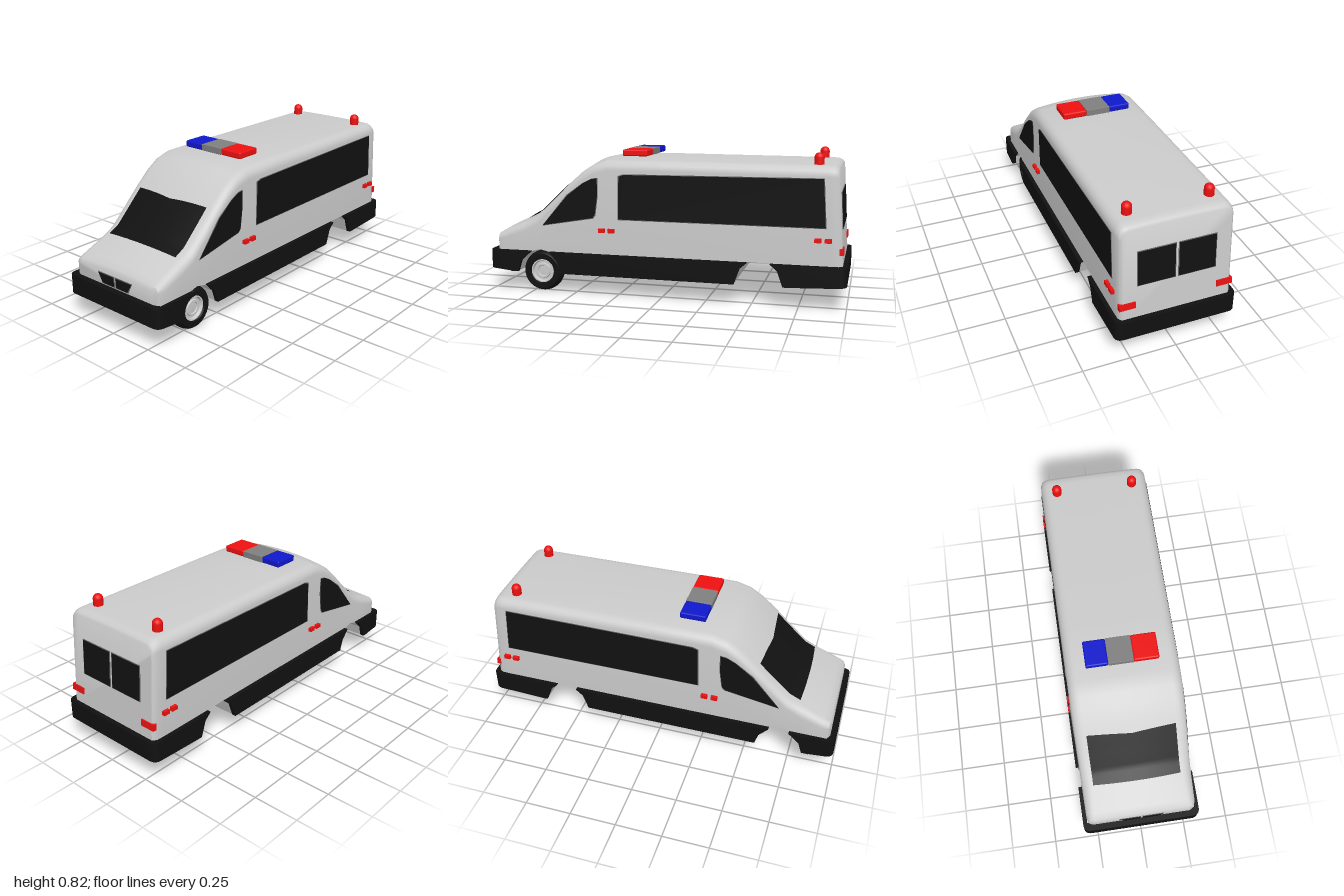
import * as THREE from 'three';
import { toCreasedNormals } from 'three/addons/utils/BufferGeometryUtils.js';
import { RoundedBoxGeometry } from 'three/addons/geometries/RoundedBoxGeometry.js';

const mat = (color, side = THREE.FrontSide) => new THREE.MeshStandardMaterial({ color, side });
const grey = mat(0xcccccc), black = mat(0x111111), red = mat(0xee1111), blue = mat(0x1018cc);
const midGrey = mat(0x808080), frameGrey = mat(0x666666), glass = mat(0x111111, THREE.DoubleSide);
const LEAN = 0.06; // forward lean of the tail

function add(parent, name, geo, material, x = 0, y = 0, z = 0) {
  const m = new THREE.Mesh(geo, material);
  m.name = name;
  m.position.set(x, y, z);
  parent.add(m);
  return m;
}

const polygon = pts => new THREE.Shape(pts.map(p => new THREE.Vector2(p[0], p[1])));
const slab = (pts, depth) => new THREE.ExtrudeGeometry(polygon(pts), { depth, bevelEnabled: false });

// Body stations: x, roof height, half width, edge radius, crown, bottom, lean
const stations = [
  [-0.968, 0.318, 0.272, 0.02, 0.01, 0.225, 0],
  [-0.957, 0.338, 0.293, 0.03, 0.012, 0.225, 0],
  [-0.925, 0.358, 0.302, 0.045, 0.015, 0.225, 0],
  [-0.8, 0.418, 0.303, 0.055, 0.02, 0.25, 0],
  [-0.72, 0.458, 0.303, 0.055, 0.02, 0.25, 0],
  [-0.62, 0.553, 0.303, 0.055, 0.02, 0.25, 0],
  [-0.53, 0.64, 0.303, 0.055, 0.02, 0.25, 0],
  [-0.45, 0.71, 0.303, 0.055, 0.02, 0.25, 0],
  [-0.38, 0.752, 0.303, 0.055, 0.018, 0.25, 0],
  [-0.3, 0.77, 0.303, 0.055, 0.014, 0.25, 0],
  [0, 0.768, 0.303, 0.055, 0.01, 0.25, 0],
  [0.92, 0.758, 0.303, 0.055, 0.004, 0.225, LEAN],
  [0.95, 0.755, 0.301, 0.053, 0.004, 0.225, LEAN],
  [0.967, 0.746, 0.295, 0.05, 0.004, 0.225, LEAN],
  [0.975, 0.733, 0.285, 0.045, 0.004, 0.225, LEAN],
];

function section([x, top, w, r, crown, bottom, lean]) {
  const half = [[w, bottom]], edge = top - crown;
  for (let k = 0; k <= 6; k++) {
    const a = k / 6 * Math.PI / 2;
    half.push([w - r + r * Math.cos(a), edge - r + r * Math.sin(a)]);
  }
  for (let k = 5; k >= 0; k--) {
    const t = k / 6;
    half.push([(w - r) * t, top - crown * t * t]);
  }
  const all = half.concat(half.slice(0, -1).reverse().map(([z, y]) => [-z, y]));
  return all.map(([z, y]) => [x - lean * (y - 0.235), y, z]);
}

function bodyGeometry() {
  const rows = stations.map(section), n = rows[0].length, index = [];
  for (let i = 0; i < rows.length - 1; i++) {
    for (let j = 0; j < n - 1; j++) {
      const a = i * n + j, b = a + n;
      index.push(a, b, b + 1, a, b + 1, a + 1);
    }
  }
  const last = (rows.length - 1) * n;
  for (let k = 1; k < n - 1; k++) {
    index.push(0, k, k + 1, last, last + k + 1, last + k);
  }
  const geo = new THREE.BufferGeometry();
  geo.setAttribute('position', new THREE.Float32BufferAttribute(rows.flat(2), 3));
  geo.setIndex(index);
  return toCreasedNormals(geo, 0.6);
}

// Height of the crowned bonnet and roof surface
function topAt(x, z) {
  const i = Math.max(1, stations.findIndex(s => s[0] >= x));
  const a = stations[i - 1], b = stations[i], t = (x - a[0]) / (b[0] - a[0]);
  const mix = k => a[k] + (b[k] - a[k]) * t;
  return mix(1) - mix(4) * (z / (mix(2) - mix(3))) ** 2;
}

function windscreenGeometry() {
  const geo = new THREE.PlaneGeometry(1, 1, 16, 16), p = geo.attributes.position;
  for (let i = 0; i < p.count; i++) {
    const u = p.getX(i) * 2, v = p.getY(i) + 0.5, z = u * 0.24;
    const x = THREE.MathUtils.lerp(-0.79 + 0.01 * u * u, -0.57 + 0.02 * Math.abs(u), v);
    p.setXYZ(i, x - 0.004, topAt(x, z) + 0.004, z);
  }
  geo.computeVertexNormals();
  return geo;
}

// Dark pane with a slightly larger thin frame behind it
function pane(parent, name, pts, z, dir = 1) {
  const g = new THREE.Group();
  g.name = name;
  const c = [0, 1].map(k => (Math.min(...pts.map(p => p[k])) + Math.max(...pts.map(p => p[k]))) / 2);
  const bigger = pts.map(p => p.map((v, k) => v + 0.004 * Math.sign(v - c[k])));
  add(g, 'windowFrame', slab(bigger, 0.004), frameGrey, 0, 0, dir > 0 ? z - 0.002 : -z - 0.002);
  add(g, 'windowGlass', slab(pts, 0.006), glass, 0, 0, dir > 0 ? z - 0.002 : -z - 0.004);
  parent.add(g);
}

// U-shaped bumper wrapping one end of the van
function bumperGeometry(inner) {
  const s = new THREE.Shape();
  s.moveTo(inner, -0.302);
  s.lineTo(inner, -0.325);
  s.lineTo(0.96, -0.325);
  s.quadraticCurveTo(1, -0.325, 1, -0.285);
  s.lineTo(1, 0.285);
  s.quadraticCurveTo(1, 0.325, 0.96, 0.325);
  s.lineTo(inner, 0.325);
  s.lineTo(inner, 0.302);
  s.lineTo(0.955, 0.302);
  s.lineTo(0.955, -0.302);
  const geo = new THREE.ExtrudeGeometry(s, { depth: 0.12, bevelEnabled: false, curveSegments: 8 });
  geo.rotateX(Math.PI / 2).translate(0, 0.235, 0);
  const p = geo.attributes.position;
  for (let i = 0; i < p.count; i++) {
    if (p.getY(i) < 0.15) p.setY(i, 0.115 + 0.015 * Math.max(0, (p.getX(i) - 0.85) / 0.15));
  }
  return toCreasedNormals(geo, 0.6);
}

export function createModel() {
  const van = new THREE.Group();
  van.name = 'emergencyVan';
  add(van, 'bodyShell', bodyGeometry(), grey);
  add(van, 'windscreen', windscreenGeometry(), glass);

  // Underbody with wheel tunnels running the full width
  const underside = [[-0.96, 0.225], [-0.96, 0.128], [-0.83, 0.117], [-0.81, 0.18], [-0.76, 0.23], [-0.7, 0.245],
    [-0.64, 0.23], [-0.59, 0.18], [-0.57, 0.117], [0.41, 0.117], [0.44, 0.2], [0.48, 0.235], [0.54, 0.245],
    [0.6, 0.235], [0.64, 0.2], [0.67, 0.117], [0.96, 0.128], [0.96, 0.225], [0.92, 0.225], [0.92, 0.251],
    [-0.92, 0.251], [-0.92, 0.225]];
  add(van, 'underbody', slab(underside, 0.604), grey, 0, 0, -0.302);

  // Bumpers and side skirts
  add(van, 'rearBumper', bumperGeometry(0.7), black);
  add(van, 'frontBumper', bumperGeometry(0.87), black).rotation.y = Math.PI;
  const skirts = [
    [[-0.87, 0.115], [-0.83, 0.115], [-0.81, 0.18], [-0.75, 0.235], [-0.87, 0.235]],
    [[-0.57, 0.115], [0.41, 0.115], [0.44, 0.2], [0.48, 0.235], [-0.64, 0.235], [-0.59, 0.18]],
    [[0.67, 0.115], [0.7, 0.115], [0.7, 0.235], [0.6, 0.235], [0.64, 0.2]],
  ];
  const cabWindow = [[-0.68, 0.385], [-0.385, 0.437], [-0.37, 0.455], [-0.355, 0.56], [-0.355, 0.657],
    [-0.39, 0.652], [-0.44, 0.627], [-0.53, 0.557]];
  const sideWindow = [[-0.235, 0.435], [0.883, 0.435], [0.867, 0.688], [-0.2, 0.68], [-0.23, 0.67]];
  for (const side of [1, -1]) {
    for (const s of skirts) add(van, 'sideSkirt', slab(s, 0.023), black, 0, 0, side > 0 ? 0.302 : -0.325);
    pane(van, 'cabWindow', cabWindow, 0.303, side);
    pane(van, 'sideWindow', sideWindow, 0.303, side);
    for (const x of [-0.33, -0.275, 0.845, 0.898]) {
      add(van, 'sideMarker', new THREE.BoxGeometry(0.035, 0.022, 0.026), red, x, 0.37, side * 0.308);
    }
    // Roof beacon with a domed top
    add(van, 'roofBeacon', new THREE.CapsuleGeometry(0.026, 0.05, 8, 20), red, 0.835, 0.766, side * 0.214);
  }

  // Tail windows and lamps on the leaning rear face
  const tail = new THREE.Group();
  tail.name = 'tail';
  tail.position.set(0.975, 0.235, 0);
  tail.rotation.set(-Math.atan(LEAN), Math.PI / 2, 0, 'YXZ');
  for (const s of [1, -1]) {
    const win = [[s * 0.01, 0.185], [s * 0.205, 0.185], [s * 0.205, 0.373], [s * 0.01, 0.373]];
    pane(tail, 'rearWindow', win, 0.001);
    add(tail, 'tailLamp', new THREE.BoxGeometry(0.086, 0.035, 0.022), red, s * 0.26, 0.077, -0.004);
  }
  van.add(tail);

  // Split nose grille
  const grille = new THREE.Group();
  grille.name = 'grille';
  grille.position.x = -0.968;
  grille.rotation.y = -Math.PI / 2;
  for (const s of [1, -1]) {
    pane(grille, 'grillePanel', [[s * 0.008, 0.245], [s * 0.09, 0.245], [s * 0.12, 0.295], [s * 0.008, 0.295]], 0.001);
  }
  van.add(grille);

  // Three-part light bar
  const bar = [['redLight', red, 0.06, 0.195], ['barCentre', midGrey, -0.075, 0.06], ['blueLight', blue, -0.195, -0.075]];
  for (const [name, m, z0, z1] of bar) {
    const r = name === 'barCentre' ? 0.002 : 0.008;
    add(van, name, new RoundedBoxGeometry(0.142, 0.036, z1 - z0, 3, r), m, -0.17, 0.791, (z0 + z1) / 2);
  }

  // Front wheel: tyre, stepped rim and hub
  const wheel = new THREE.Group();
  wheel.name = 'frontWheel';
  wheel.position.set(-0.7, 0.115, 0.243);
  const lathe = pts => toCreasedNormals(
    new THREE.LatheGeometry(pts.map(p => new THREE.Vector2(p[0], p[1])), 32).rotateX(Math.PI / 2), 0.5);
  add(wheel, 'tyre', lathe([[0.066, -0.03], [0.072, -0.042], [0.1, -0.043], [0.11, -0.03], [0.115, -0.012],
    [0.115, 0.012], [0.11, 0.03], [0.1, 0.043], [0.072, 0.042], [0.066, 0.03], [0.066, -0.03]]), black);
  add(wheel, 'rim', lathe([[0, -0.015], [0.05, -0.015], [0.06, -0.034], [0.067, -0.034], [0.067, 0.036], [0.06, 0.036],
    [0.055, 0.022], [0.045, 0.022], [0.042, 0.03], [0.032, 0.03], [0.029, 0.024], [0, 0.026]]), grey);
  van.add(wheel);
  return van;
}
